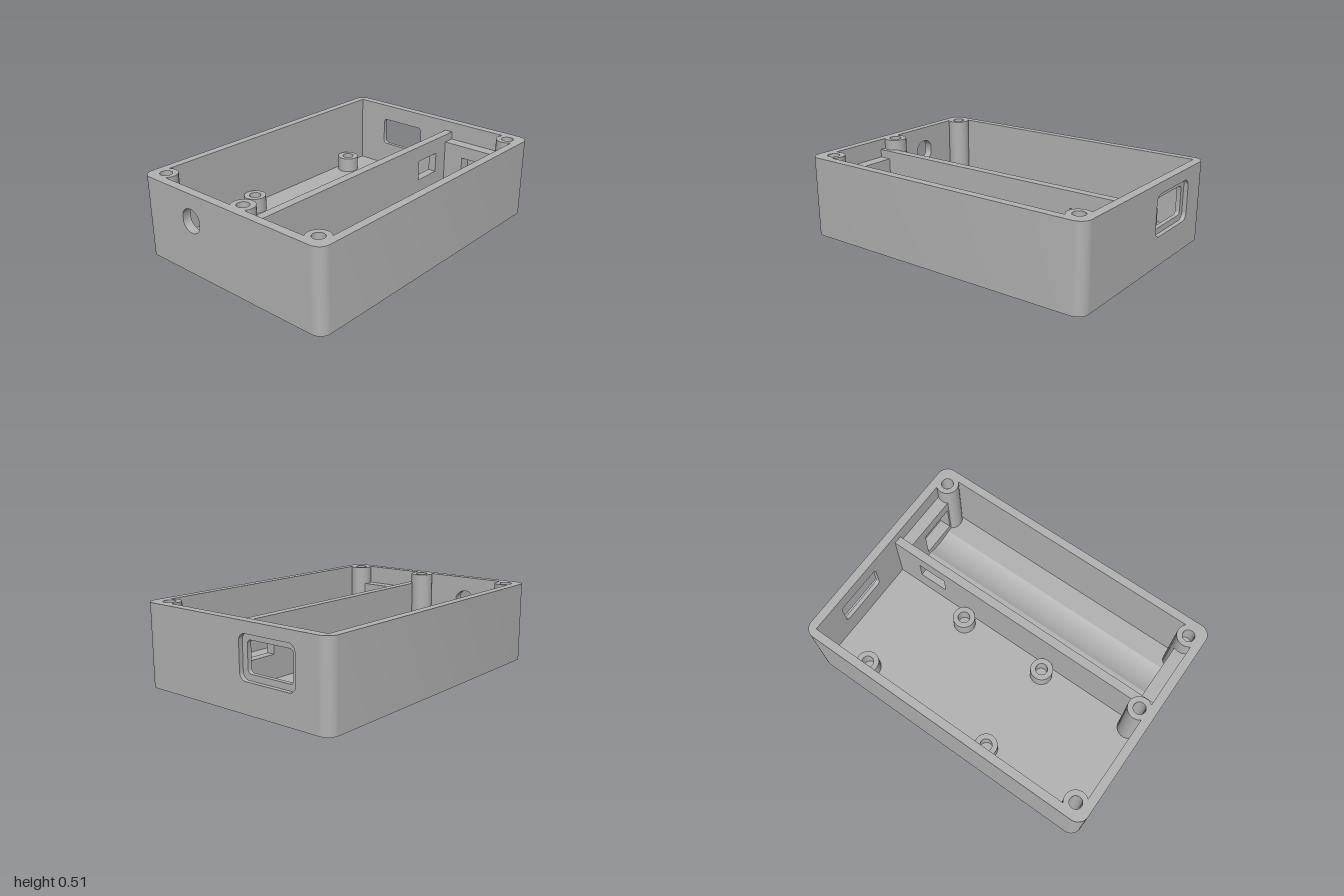
import * as THREE from 'three';
import { toCreasedNormals } from 'three/addons/utils/BufferGeometryUtils.js';

const HX = 0.707, HZ = 1, H = 0.515;   // outer half sizes and height
const IX = 0.655, IZ = 0.945;          // inner half sizes
const R = 0.07, FLOOR = 0.06;

// Rectangle outline with optional rounded corners
function rect(x0, y0, x1, y1, r = 0, Type = THREE.Shape) {
  const s = new Type();
  if (!r) {
    s.moveTo(x0, y0).lineTo(x1, y0).lineTo(x1, y1).lineTo(x0, y1).closePath();
    return s;
  }
  s.absarc(x1 - r, y0 + r, r, -Math.PI / 2, 0);
  s.absarc(x1 - r, y1 - r, r, 0, Math.PI / 2);
  s.absarc(x0 + r, y1 - r, r, Math.PI / 2, Math.PI);
  s.absarc(x0 + r, y0 + r, r, Math.PI, Math.PI * 1.5);
  s.closePath();
  return s;
}

function extrude(shape, depth, holes = []) {
  shape.holes.push(...holes);
  const g = new THREE.ExtrudeGeometry(shape, { depth, bevelEnabled: false, curveSegments: 12 });
  return toCreasedNormals(g, 0.5);
}

export function createModel() {
  const model = new THREE.Group();
  model.name = 'enclosure';
  const grey = new THREE.MeshStandardMaterial({ color: 0xb2b2b2 });
  grey.name = 'grey plastic';

  const add = (name, geometry) => {
    const m = new THREE.Mesh(geometry, grey);
    m.name = name;
    model.add(m);
    return m;
  };
  const hole = (x0, y0, x1, y1, r) => rect(x0, y0, x1, y1, r, THREE.Path);

  // Side walls, each carrying two rounded outer corners
  const px = HX - R;
  for (const side of [1, -1]) {
    const s = new THREE.Shape();
    s.moveTo(px, -HZ);
    s.absarc(px, -HZ + R, R, -Math.PI / 2, 0);
    s.absarc(px, HZ - R, R, 0, Math.PI / 2);
    s.lineTo(px, IZ).lineTo(IX, IZ).lineTo(IX, -IZ).lineTo(px, -IZ).closePath();
    const wall = add(side > 0 ? 'leftWall' : 'rightWall', extrude(s, H).rotateX(-Math.PI / 2));
    if (side < 0) wall.rotation.y = Math.PI;
  }

  // Front wall with a round hole flattened on both sides
  const cx = -0.28, cy = 0.345, a = Math.acos(0.07 / 0.075);
  const jack = new THREE.Path();
  jack.absarc(cx, cy, 0.075, a, Math.PI - a);
  jack.absarc(cx, cy, 0.075, Math.PI + a, 2 * Math.PI - a);
  jack.closePath();
  add('frontWall', extrude(rect(-px, 0, px, H), HZ - IZ, [jack])).position.z = IZ;

  // Back wall in two layers: wide recess outside, smaller window inside
  const half = (HZ - IZ) / 2;
  add('backWallOuter', extrude(rect(-px, 0, px, H), half,
    [hole(cx - 0.202, 0.185, cx + 0.202, 0.445, 0.045)])).position.z = -HZ;
  add('backWallInner', extrude(rect(-px, 0, px, H), half,
    [hole(cx - 0.165, 0.222, cx + 0.165, 0.408, 0.025)])).position.z = -HZ + half;

  // Floor, its upper layer cut out for the battery trough
  const base = 0.03, tx = 0.41, tw = 0.1, tr = 0.25, tz = 0.867;
  add('floorBase', extrude(rect(-IX, -IZ, IX, IZ), base).rotateX(-Math.PI / 2));
  add('floorTop', extrude(rect(-IX, -IZ, IX, IZ), FLOOR - base,
    [hole(tx - tw, -tz, tx + tw, tz)]).rotateX(-Math.PI / 2)).position.y = base;

  // Shallow cylindrical trough
  const ta = Math.asin(tw / tr);
  const trough = new THREE.Shape();
  trough.moveTo(tx + tw, base).lineTo(tx + tw, FLOOR);
  trough.absarc(tx, FLOOR + tr * Math.cos(ta), tr, -Math.PI / 2 + ta, -Math.PI / 2 - ta, true);
  trough.lineTo(tx - tw, base).closePath();
  add('batteryTrough', extrude(trough, 2 * tz)).position.z = -tz;

  // Divider with a cable opening (outline runs along -z)
  add('divider', extrude(rect(-0.945, FLOOR, 0.945, 0.447), 0.055,
    [hole(0.565, 0.21, 0.76, 0.343)]).rotateY(Math.PI / 2)).position.x = 0.095;

  // Contact blocks at both ends of the battery bay
  for (const side of [1, -1]) {
    const block = extrude(rect(0.15, FLOOR, IX, 0.395), IZ - tz, [hole(0.29, 0.1, 0.53, 0.312)]);
    add(side > 0 ? 'frontContactBlock' : 'backContactBlock', block).position.z = side > 0 ? tz : -IZ;
  }

  // Hollow round posts
  const post = (name, x, z, top) => {
    const r = 0.072, h = 0.038;
    const profile = [[r, FLOOR - 0.01], [r, top], [h, top], [h, FLOOR + 0.005], [0, FLOOR + 0.005]]
      .map(([px, py]) => new THREE.Vector2(px, py));
    add(name, toCreasedNormals(new THREE.LatheGeometry(profile, 40), 0.5)).position.set(x, 0, z);
  };
  for (const [x, z] of [[-0.578, -0.687], [0.025, -0.368], [-0.578, 0.247], [0.025, 0.247]])
    post('boardStandoff', x, z, 0.16);
  for (const [x, z] of [[-0.612, 0.9], [0.053, 0.9], [0.603, 0.9], [0.603, -0.905]])
    post('screwPost', x, z, H);

  return model;
}
